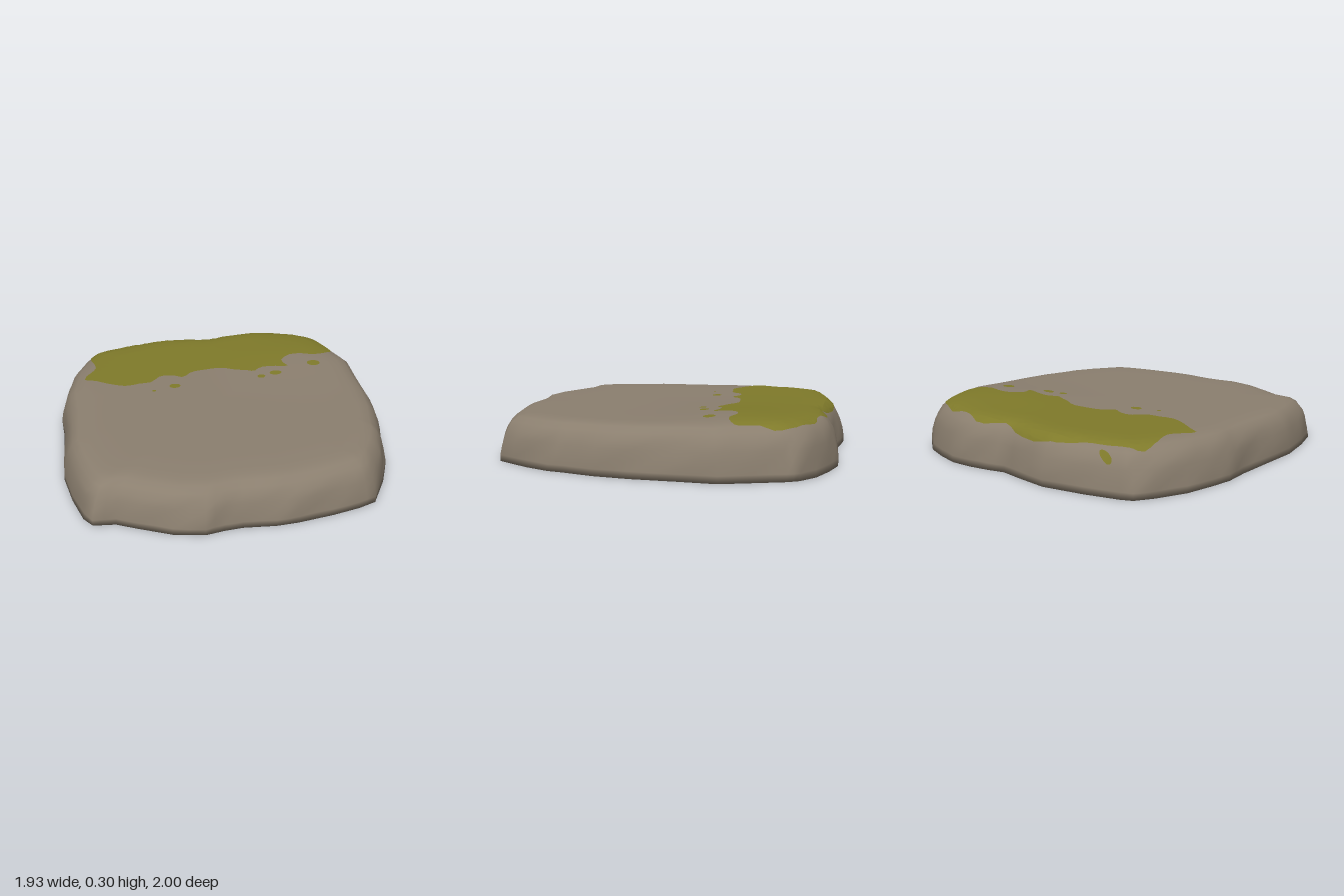
import * as THREE from 'three';
import { mergeVertices } from 'three/addons/utils/BufferGeometryUtils.js';

// Footprint of the slab as (x, z), clockwise seen from above
const OUTLINE = [
  [0.03, -0.935], [0.13, -0.965], [0.25, -0.99], [0.38, -1], [0.52, -0.97], [0.67, -0.92], [0.77, -0.85],
  [0.81, -0.79], [0.88, -0.62], [0.945, -0.46], [0.95, -0.25], [0.96, 0], [0.95, 0.2], [0.915, 0.38],
  [0.905, 0.47], [0.85, 0.62], [0.75, 0.815], [0.65, 0.86], [0.5, 0.905], [0.3, 0.95], [0.18, 0.965],
  [0, 0.96], [-0.1, 0.975], [-0.2, 1], [-0.37, 0.975], [-0.55, 0.9], [-0.66, 0.85], [-0.78, 0.845],
  [-0.83, 0.78], [-0.89, 0.6], [-0.94, 0.38], [-0.945, 0.1], [-0.95, -0.1], [-0.965, -0.25],
  [-0.95, -0.38], [-0.92, -0.55], [-0.85, -0.72], [-0.79, -0.82], [-0.73, -0.85], [-0.54, -0.91],
  [-0.3, -0.965], [-0.1, -0.95],
];

// Cross-section from rim to centre: [scale of footprint, fraction of height]
const PROFILE = [
  [1, 0], [0.997, 0.14], [0.988, 0.35], [0.975, 0.55], [0.96, 0.7], [0.935, 0.85], [0.9, 0.945],
  [0.85, 0.985], [0.78, 1], [0.65, 1], [0.5, 1], [0.35, 1], [0.2, 1],
];

// Mossy area as (x, z)
const MOSS = [
  [-0.81, -0.34], [-0.74, -0.31], [-0.66, -0.26], [-0.56, -0.22], [-0.47, -0.24], [-0.4, -0.25], [-0.34, -0.32],
  [-0.26, -0.32], [-0.2, -0.29], [-0.14, -0.35], [-0.05, -0.37], [0.05, -0.38], [0.13, -0.34], [0.2, -0.32],
  [0.25, -0.3], [0.3, -0.34], [0.38, -0.34], [0.47, -0.325], [0.44, -0.4], [0.5, -0.47], [0.58, -0.48],
  [0.65, -0.46], [0.72, -0.47], [0.79, -0.51], [0.79, -0.56], [0.76, -0.64], [0.76, -0.72], [0.7, -0.79],
  [0.61, -0.84], [0.5, -0.89], [0.42, -0.885], [0.33, -0.9], [0.24, -0.925], [0.13, -0.89], [0.06, -0.865],
  [-0.05, -0.895], [-0.23, -0.91], [-0.38, -0.88], [-0.5, -0.83], [-0.6, -0.8], [-0.7, -0.76],
  [-0.77, -0.72], [-0.77, -0.62], [-0.74, -0.5], [-0.77, -0.43], [-0.8, -0.39],
];

// Small stray moss spots: x, z, radius x, radius z
const SPOTS = [
  [-0.26, -0.18, 0.035, 0.027], [-0.39, -0.135, 0.012, 0.011], [0.285, -0.225, 0.025, 0.021],
  [0.38, -0.255, 0.038, 0.026], [0.64, -0.345, 0.042, 0.033], [-0.62, -0.835, 0.04, 0.013],
];

// Gently tilted top with a raised area at the back
function topHeight(x, z) {
  const bump = Math.exp(-((x - 0.55) ** 2) / 0.12 - ((z + 0.5) ** 2) / 0.1);
  return 0.259 + 0.009 * x - 0.012 * z + 0.02 * bump;
}

// Height of the stone surface under any point of the footprint
function surfaceY(x, z) {
  let s = 0;
  OUTLINE.forEach(([ax, az], i) => {
    const [bx, bz] = OUTLINE[(i + 1) % OUTLINE.length];
    if (ax * z - az * x >= 0 && x * bz - z * bx >= 0) {
      s = (x * (bz - az) - z * (bx - ax)) / (ax * bz - az * bx);
    }
  });
  let f = 1;
  for (let k = 0; k < PROFILE.length - 1; k++) {
    const [s0, f0] = PROFILE[k], [s1, f1] = PROFILE[k + 1];
    if (s <= s0 && s > s1) f = f0 + (f1 - f0) * (s0 - s) / (s0 - s1);
  }
  return topHeight(x, z) * f;
}

function stoneGeometry() {
  // Halve every outline edge for a finer rim
  const rim = OUTLINE.flatMap(([ax, az], i) => {
    const [bx, bz] = OUTLINE[(i + 1) % OUTLINE.length];
    return [[ax, az], [(ax + bx) / 2, (az + bz) / 2]];
  });
  const n = rim.length, pos = [], index = [];
  PROFILE.forEach(([s, f]) => rim.forEach(([x, z], i) => {
    // Slight chipping of the side wall
    const chip = f > 0.1 && f < 0.75 ? 0.005 * Math.sin(i * 1.3 + f * 5) * Math.sin(i * 0.37) : 0;
    const px = x * (s + chip), pz = z * (s + chip);
    pos.push(px, topHeight(px, pz) * f, pz);
  }));
  const top = pos.length / 3, bottom = top + 1, last = (PROFILE.length - 1) * n;
  pos.push(0, topHeight(0, 0), 0, 0, 0, 0);
  for (let i = 0; i < n; i++) {
    const j = (i + 1) % n;
    for (let k = 0; k < last; k += n) {
      index.push(k + j, k + i, k + n + i, k + j, k + n + i, k + n + j);
    }
    index.push(last + j, last + i, top, i, j, bottom);
  }
  const geo = new THREE.BufferGeometry();
  geo.setAttribute('position', new THREE.Float32BufferAttribute(pos, 3));
  geo.setIndex(index);
  geo.computeVertexNormals();
  return geo;
}

// Lay a flat shape over the stone, splitting long edges so it follows the surface
function drape(shape, segments) {
  const flat = new THREE.ShapeGeometry(shape, segments).toNonIndexed().attributes.position;
  const pos = [];
  const split = (a, b, c) => {
    const ab = a.distanceTo(b), bc = b.distanceTo(c), ca = c.distanceTo(a);
    const longest = Math.max(ab, bc, ca);
    if (longest < 0.04) {
      for (const p of [a, b, c]) pos.push(p.x, surfaceY(p.x, -p.y) + 0.005, -p.y);
      return;
    }
    if (bc === longest) return split(b, c, a);
    if (ca === longest) return split(c, a, b);
    const m = a.clone().add(b).multiplyScalar(0.5);
    split(a, m, c);
    split(m, b, c);
  };
  for (let i = 0; i < flat.count; i += 3) {
    split(...[0, 1, 2].map((k) => new THREE.Vector2(flat.getX(i + k), flat.getY(i + k))));
  }
  const geo = new THREE.BufferGeometry();
  geo.setAttribute('position', new THREE.Float32BufferAttribute(pos, 3));
  const merged = mergeVertices(geo, 1e-5);
  merged.computeVertexNormals();
  return merged;
}

export function createModel() {
  const stone = new THREE.MeshStandardMaterial({ color: 0x8b7f6f });
  stone.name = 'stone';
  const moss = new THREE.MeshStandardMaterial({ color: 0x7f7a2a });
  moss.name = 'moss';

  const group = new THREE.Group();
  group.name = 'mossyStone';
  const add = (name, geometry, material) => {
    const mesh = new THREE.Mesh(geometry, material);
    mesh.name = name;
    group.add(mesh);
  };

  // Stone slab
  add('stoneSlab', stoneGeometry(), stone);

  // Main moss patch with a wavy edge
  const pts = MOSS.map(([x, z]) => new THREE.Vector2(x, -z));
  const patch = new THREE.Shape();
  patch.moveTo(pts[0].x, pts[0].y);
  patch.splineThru([...pts.slice(1), pts[0]]);
  add('mossPatch', drape(patch, 2), moss);

  // Stray moss spots
  SPOTS.forEach(([x, z, rx, rz], i) => {
    const spot = new THREE.Shape();
    spot.absellipse(x, -z, rx, rz, 0, Math.PI * 2);
    add(`mossSpot${i + 1}`, drape(spot, 6), moss);
  });
  return group;
}
